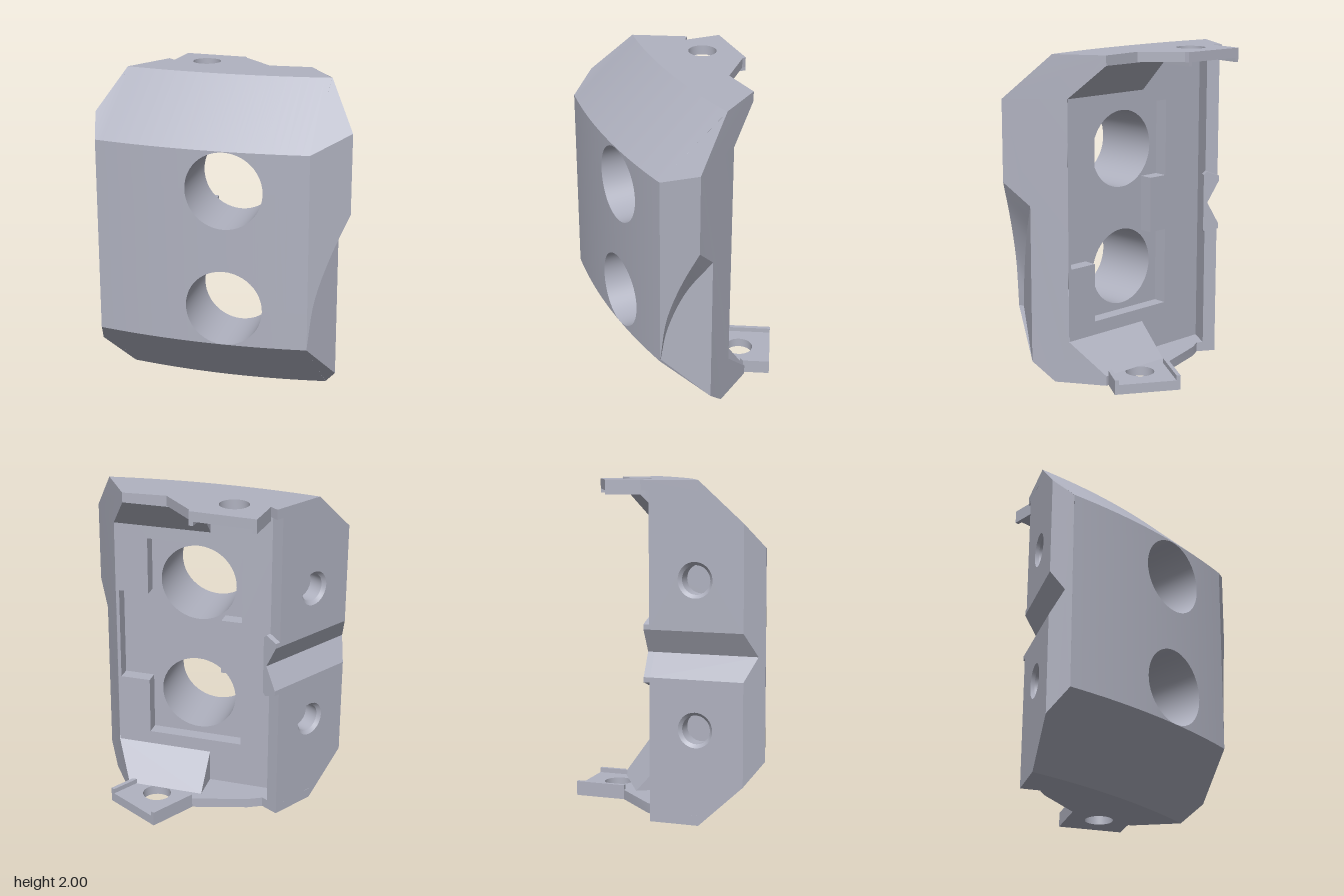
import * as THREE from 'three';
import { toCreasedNormals } from 'three/addons/utils/BufferGeometryUtils.js';

const V = (x, y, z) => new THREE.Vector3(x, y, z);
// Slanted frame: u runs along the curved front, w points outward from it
const P = (u, y, w) => V(0.5 * u - 0.866 * w, y, 0.866 * u + 0.5 * w);

// Flat polygon in space, with optional holes
function face(pts, holes = []) {
  const n = V(0, 0, 0);
  pts.forEach((p, i) => n.add(p.clone().cross(pts[(i + 1) % pts.length])));
  n.normalize();
  const a = Math.abs(n.y) > 0.9 ? V(1, 0, 0) : V(0, 1, 0).cross(n).normalize();
  const b = n.clone().cross(a);
  const flat = (l) => l.map((p) => new THREE.Vector2(p.dot(a), p.dot(b)));
  const all = [pts, ...holes].flat();
  const tris = THREE.ShapeUtils.triangulateShape(flat(pts), holes.map(flat));
  return tris.flatMap((t) => t.map((i) => all[i]));
}

// Ruled strip between two point rows
function strip(a, b) {
  const out = [];
  for (let i = 0; i < a.length - 1; i++) out.push(a[i], b[i], a[i + 1], a[i + 1], b[i], b[i + 1]);
  return out;
}
const loop = (l) => [...l, l[0]];
const prism = (a, b) => [...face(a), ...face(b), ...strip(loop(a), loop(b))];

export function createModel() {
  const model = new THREE.Group();
  const grey = new THREE.MeshStandardMaterial({ color: 0xb0b2c0, side: THREE.DoubleSide });
  grey.name = 'light grey';

  const add = (name, geo) => {
    const m = new THREE.Mesh(geo, grey);
    m.name = name;
    model.add(m);
  };
  const part = (name, pts) => {
    const g = new THREE.BufferGeometry().setFromPoints(pts);
    add(name, toCreasedNormals(g, 0.45));
  };

  // Curved front with its two bores
  const R = 0.24, boreY = [0.625, 1.375];
  const bulge = (u) => 0.055 * (1 - ((u + 0.155) / 0.67) ** 2);
  const W = (u) => 0.298 + 0.016 * (u + 0.155) + bulge(u);
  const us = [];
  for (let i = 0; i < 12; i++) us.push(-0.824 + (0.584 * i) / 12);
  for (let i = 0; i <= 24; i++) us.push(-R * Math.cos((Math.PI * i) / 24));
  for (let i = 1; i <= 6; i++) us.push(R + (0.275 * i) / 6);
  const half = (u) => Math.sqrt(Math.max(0, R * R - u * u));
  const row = (f) => us.map((u) => P(u, f(u), W(u)));
  const crest = (y) => us.map((u) => {
    const k = (u + 0.824) / 1.339;
    return P(-0.734 + 1.295 * k, y, -0.09 + bulge(u));
  });
  const [lowB, topB] = boreY;
  const low = row(() => 0.385), high = row(() => 1.62);
  part('curvedFront', [
    ...strip(low, row((u) => lowB - half(u))),
    ...strip(row((u) => lowB + half(u)), row((u) => topB - half(u))),
    ...strip(row((u) => topB + half(u)), high),
  ]);
  const topCrest = crest(2), baseCrest = crest(0);
  part('topChamfer', [
    ...strip(high, topCrest),
    ...face([V(-0.66, 1.62, -0.57), V(-0.56, 1.76, -0.68), V(-0.29, 2, -0.68)]),
    ...face([V(-0.01, 1.62, 0.6), V(0.23, 1.73, 0.72), V(0.36, 2, 0.44)]),
  ]);
  part('bottomChamfer', [
    ...strip(low, baseCrest),
    ...face([V(-0.66, 0.385, -0.57), V(-0.56, 0.25, -0.68), V(-0.29, 0, -0.68)]),
    ...face([V(-0.01, 0.385, 0.6), V(-0.01, 0.375, 0.57), V(0.3, 0.12, 0.57), V(0.36, 0, 0.44)]),
  ]);

  const circle = (f, n = 48) => Array.from({ length: n }, (_, i) => {
    const t = (i / n) * Math.PI * 2;
    return f(Math.cos(t), Math.sin(t));
  });
  boreY.forEach((y) => part('bore', strip(
    loop(circle((c, s) => P(R * c, y + R * s, W(R * c)))),
    loop(circle((c, s) => P(R * c, y + R * s, -0.08))))));

  // Front corner with the scooped relief
  const spline = (l) => new THREE.CatmullRomCurve3(l).getPoints(14);
  const upper = spline([[-0.01, 0.39], [0.03, 0.7], [0.12, 0.98], [0.23, 1.23]]
    .map(([x, y]) => V(x, y, 0.6 + 0.5 * (x + 0.01))));
  const lower = spline([[-0.01, 0.38], [0.03, 0.6], [0.14, 0.87], [0.3, 1.09]]
    .map(([x, y]) => V(x, y, 0.57)));
  part('frontCorner', face([...upper, V(0.23, 1.73, 0.72), V(-0.01, 1.62, 0.6)]));
  part('scoopWall', strip(upper, lower));
  part('scoopFace', face([...lower, V(0.3, 0.12, 0.57)]));

  part('sideFace', face([
    [0.23, 1.73, 0.72], [0.23, 1.23, 0.72], [0.3, 1.09, 0.57], [0.3, 0.12, 0.57],
    [0.36, 0, 0.44], [0.5, 0, 0.15], [0.5, 0.06, 0.15], [0.4, 0.26, 0.36],
    [0.4, 1.74, 0.36], [0.5, 1.94, 0.15], [0.5, 2, 0.15], [0.36, 2, 0.44],
  ].map((p) => V(...p))));

  // Inner floor with a stepped recess
  const outline = [[-0.3, 0.345], [0.3, 0.345], [0.3, 0.71], [0.49, 0.71], [0.49, 1.3], [0.3, 1.3],
    [0.3, 1.66], [-0.3, 1.66], [-0.3, 1.18], [-0.17, 1.18], [-0.17, 0.83], [-0.3, 0.83]];
  const at = (l, w) => l.map(([u, y]) => P(u, y, w));
  const rim = at(outline, -0.166), bed = at(outline, -0.08);
  part('innerFloor', face(
    at([[-0.597, 0.06], [0.51, 0.06], [0.51, 1.94], [-0.597, 1.94]], -0.166), [rim]));
  part('recessWalls', strip(loop(rim), loop(bed)));
  part('recessBed', face(bed, boreY.map((y) => circle((c, s) => P(R * c, y + R * s, -0.08)))));

  // Sloped fillets where the floor meets the end plates
  [[1.74, 1.94], [0.26, 0.06]].forEach(([y0, y1]) => part('cornerSlope', [
    ...face([V(0.4, y0, 0.36), V(0.5, y1, 0.15), P(-0.1, y1, -0.358), P(-0.1, y0, -0.166)]),
    ...face([P(-0.1, y1, -0.358), P(-0.1, y0, -0.166), P(-0.1, y1, -0.166)]),
  ]));

  // Back wall with V groove and two blind screw holes
  const back = (l) => l.map(([x, y]) => V(x, y, -0.68));
  const ring = (r, y, z) => circle((c, s) => V(-0.27 + r * c, y + r * s, z), 32);
  [[1.435, [[0.01, 1.14], [0.01, 2], [-0.29, 2], [-0.56, 1.76], [-0.56, 1.14]]],
    [0.565, [[0.01, 0.86], [0.01, 0], [-0.29, 0], [-0.56, 0.25], [-0.56, 0.86]]]].forEach(([y, l]) => {
    part('backFace', face(back(l), [ring(0.105, y, -0.68)]));
    part('screwHole', [
      ...strip(loop(ring(0.105, y, -0.68)), loop(ring(0.085, y, -0.66))),
      ...strip(loop(ring(0.085, y, -0.66)), loop(ring(0.085, y, -0.57))),
      ...face(ring(0.085, y, -0.57)),
    ]);
  });
  part('backGroove', [1.14, 0.86].flatMap((y) => face(
    [V(0.01, y, -0.68), V(-0.56, y, -0.68), V(-0.628, 1, -0.605), V(0.01, 1, -0.605)])));
  part('backCorner', face([
    [-0.56, 1.76, -0.68], [-0.56, 1.14, -0.68], [-0.628, 1, -0.605], [-0.56, 0.86, -0.68],
    [-0.56, 0.25, -0.68], [-0.66, 0.385, -0.57], [-0.66, 1.62, -0.57],
  ].map((p) => V(...p))));
  part('backWallInside', [
    ...face([V(-0.155, 0, -0.6), V(0.01, 0, -0.6), V(0.01, 2, -0.6), V(-0.155, 2, -0.6)]),
    ...face([[0, -0.6], [0, -0.68], [0.86, -0.68], [1, -0.605], [1.14, -0.68], [2, -0.68], [2, -0.6]]
      .map(([y, z]) => V(0.01, y, z))),
  ]);
  // Boss that backs the groove
  const boss = (x, e) => [[0.8 + e, -0.6], [0.83 + e, -0.68], [0.86 + e, -0.68], [1, -0.605],
    [1.14 - e, -0.68], [1.17 - e, -0.68], [1.2 - e, -0.6], [1.18 - e, -0.58], [0.82 + e, -0.58]]
    .map(([y, z]) => V(x, y, z));
  part('grooveBoss', prism(boss(0.005, 0), boss(0.045, 0)));

  // End plates with screw tabs
  const plate = (name, pts, hole, y0, y1) => {
    const s = new THREE.Shape(pts.map(([x, z]) => new THREE.Vector2(x, -z)));
    if (hole) s.holes.push(new THREE.Path().absarc(hole[0], -hole[1], 0.088, 0, Math.PI * 2, true));
    const g = new THREE.ExtrudeGeometry(s, { depth: y1 - y0, bevelEnabled: false, curveSegments: 20 });
    add(name, toCreasedNormals(g.rotateX(-Math.PI / 2).translate(0, y0, 0), 0.45));
  };
  const edge = topCrest.map((p) => [p.x, p.z]);
  plate('topPlate', [...edge, [0.5, 0.15], [0.35, -0.07], [0.42, -0.34], [0.44, -0.36],
    [0.26, -0.72], [0.05, -0.62], [0.06, -0.68]], [0.17, -0.447], 1.94, 2);
  plate('bottomPlate', [...edge, [0.5, 0.15], [0.49, 0.135], [0.66, 0.135], [0.66, -0.27],
    [0.34, -0.27], [0.09, -0.51], [0.01, -0.56], [0.01, -0.68]], [0.457, -0.068], 0, 0.06);

  // Raised lips along the tab sides
  plate('bottomTabLip', [[0.34, -0.27], [0.66, -0.27], [0.66, -0.245], [0.34, -0.245]], null, 0.06, 0.09);
  plate('bottomTabLip', [[0.47, 0.11], [0.66, 0.11], [0.66, 0.135], [0.49, 0.135]], null, 0.06, 0.09);
  plate('topTabLip', [[0.26, -0.72], [0.271, -0.698], [0.061, -0.598], [0.05, -0.62]], null, 1.915, 1.94);
  plate('topTabLip', [[0.44, -0.36], [0.429, -0.382], [0.25, -0.292], [0.261, -0.27]], null, 1.915, 1.94);

  return model;
}
